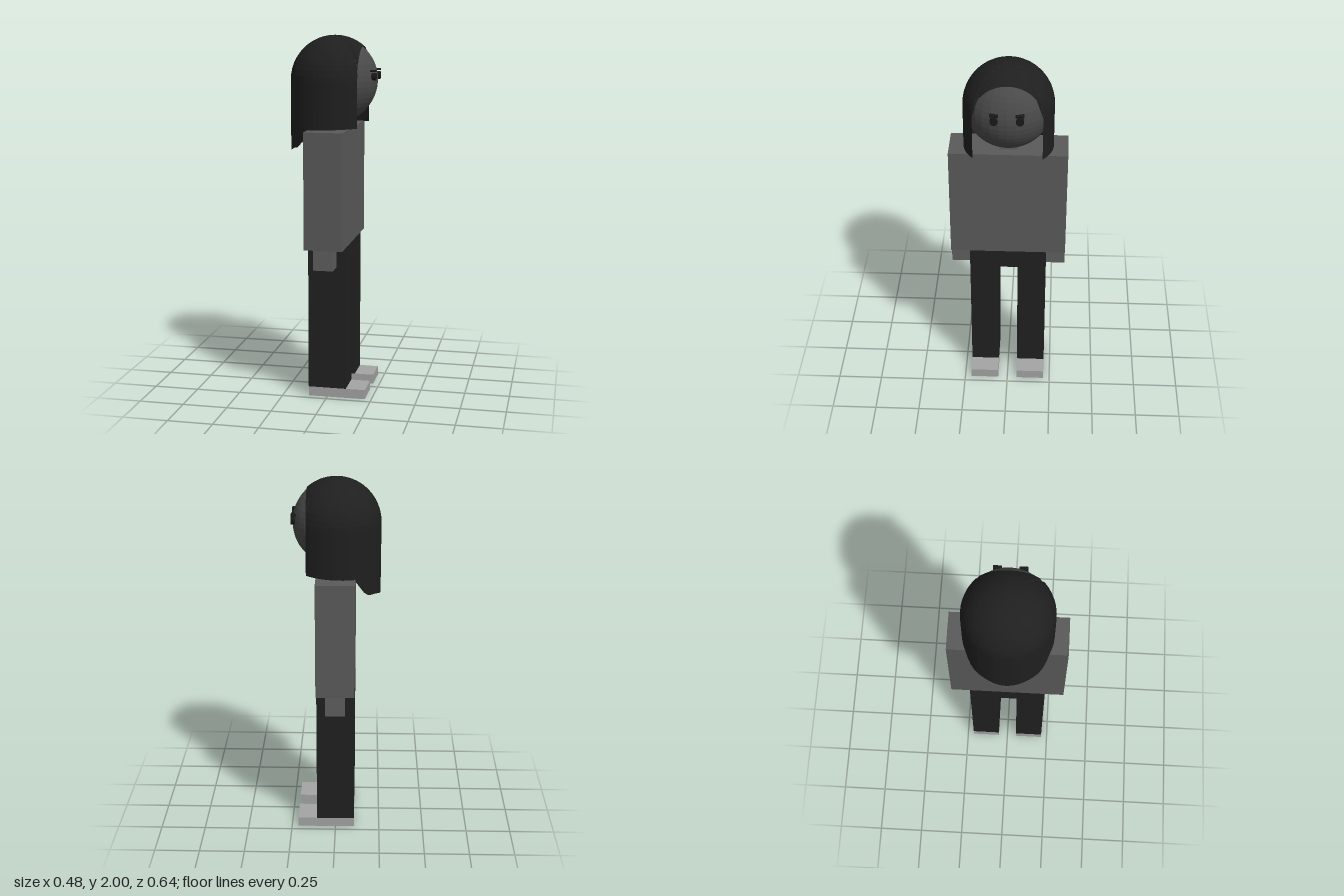
import * as THREE from 'three';

const mat = (name, color, extra = {}) => {
  const m = new THREE.MeshStandardMaterial({ color, ...extra });
  m.name = name;
  return m;
};

const HEAD_Y = 1.757, HAIR_R = 0.243, RIM_X = 0.158;

// Height of the hair's lower edge, from the face (+x) to the back (-x)
const HEM = [[0.16, 1.51], [-0.1, 1.5], [-0.165, 1.4], [-0.22, 1.388], [-0.243, 1.365]];
function hemAt(x) {
  for (let i = 1; i < HEM.length; i++) {
    const [x0, y0] = HEM[i - 1], [x1, y1] = HEM[i];
    if (x >= x1) return y0 + (y1 - y0) * THREE.MathUtils.clamp((x - x0) / (x1 - x0), 0, 1);
  }
  return HEM[HEM.length - 1][1];
}

// Grid surface from a rule point(u, v), u around and v downwards
function surface(nu, nv, point) {
  const pos = [], index = [];
  for (let j = 0; j <= nv; j++)
    for (let i = 0; i <= nu; i++) pos.push(...point(i / nu, j / nv));
  for (let j = 0; j < nv; j++)
    for (let i = 0; i < nu; i++) {
      const a = j * (nu + 1) + i, b = a + nu + 1;
      index.push(a, a + 1, b, b, a + 1, b + 1);
    }
  const g = new THREE.BufferGeometry();
  g.setAttribute('position', new THREE.Float32BufferAttribute(pos, 3));
  g.setIndex(index);
  g.computeVertexNormals();
  return g;
}

export function createModel() {
  const model = new THREE.Group();
  model.name = 'standingFigure';
  const shirt = mat('shirtGrey', 0x5a5a5a);
  const skin = mat('skinGrey', 0x5e5e5e);
  const face = mat('faceGrey', 0x4a4a4a, { flatShading: true });
  const trousers = mat('trouserBlack', 0x202020);
  const shoe = mat('shoeGrey', 0xa4a4a4);
  const hair = mat('hairBlack', 0x1f1f1f, { flatShading: true, side: THREE.DoubleSide });
  const feature = mat('featureBlack', 0x181818);

  const add = (name, geometry, material, x = 0, y = 0, z = 0) => {
    const m = new THREE.Mesh(geometry, material);
    m.name = name;
    m.position.set(x, y, z);
    model.add(m);
    return m;
  };
  const box = (name, material, x0, x1, y0, y1, z0, z1) =>
    add(name, new THREE.BoxGeometry(x1 - x0, y1 - y0, z1 - z0), material,
      (x0 + x1) / 2, (y0 + y1) / 2, (z0 + z1) / 2);

  // Body: the figure looks towards +x
  box('torsoAndSleeves', shirt, -0.106, 0.106, 0.86, 1.5, -0.32, 0.32);
  box('hips', trousers, -0.106, 0.106, 0.75, 0.86, -0.214, 0.214);
  box('neck', skin, -0.05, 0.05, 1.5, 1.56, -0.05, 0.05);

  for (const s of [-1, 1]) {
    const side = s > 0 ? 'Right' : 'Left';
    const pair = (name, material, x0, x1, y0, y1, z0, z1) =>
      box(name + side, material, x0, x1, y0, y1, Math.min(s * z0, s * z1), Math.max(s * z0, s * z1));
    pair('leg', trousers, -0.106, 0.106, 0.053, 0.75, 0.054, 0.214);
    pair('shoe', shoe, -0.106, 0.214, 0, 0.053, 0.054, 0.214);
    pair('hand', skin, -0.054, 0.054, 0.75, 0.86, 0.214, 0.32);
    // Eye disc and brow bar
    const eye = add('eye' + side, new THREE.CylinderGeometry(0.021, 0.021, 0.026, 12), feature, 0.228, 1.78, s * 0.067);
    eye.rotation.z = -Math.PI / 2;
    pair('brow' + side, feature, 0.212, 0.241, 1.808, 1.816, 0.044, 0.09);
  }

  // Head
  add('head', new THREE.SphereGeometry(0.236, 32, 24), face, 0, HEAD_Y, 0);

  // Hair: a dome cut off flat at the face, with a curtain hanging below
  const open = Math.acos(RIM_X / HAIR_R);
  const dome = (a, phi) => [
    HAIR_R * Math.sin(phi) * Math.cos(a), HEAD_Y + HAIR_R * Math.cos(phi), -HAIR_R * Math.sin(phi) * Math.sin(a)];
  const backAngle = (u) => open + u * (2 * Math.PI - 2 * open);
  add('hairFringe', surface(16, 10, (u, v) => {
    const a = (u * 2 - 1) * open;
    const limit = Math.asin(Math.min(1, RIM_X / (HAIR_R * Math.cos(a))));
    return dome(a, v * limit);
  }).toNonIndexed(), hair);
  add('hairCrown', surface(36, 12, (u, v) => dome(backAngle(u), v * Math.PI / 2)).toNonIndexed(), hair);
  add('hairCurtain', surface(36, 3, (u, v) => {
    const [x, y, z] = dome(backAngle(u), Math.PI / 2);
    return [x, y + (hemAt(x) - y) * v, z];
  }).toNonIndexed(), hair);

  return model;
}
